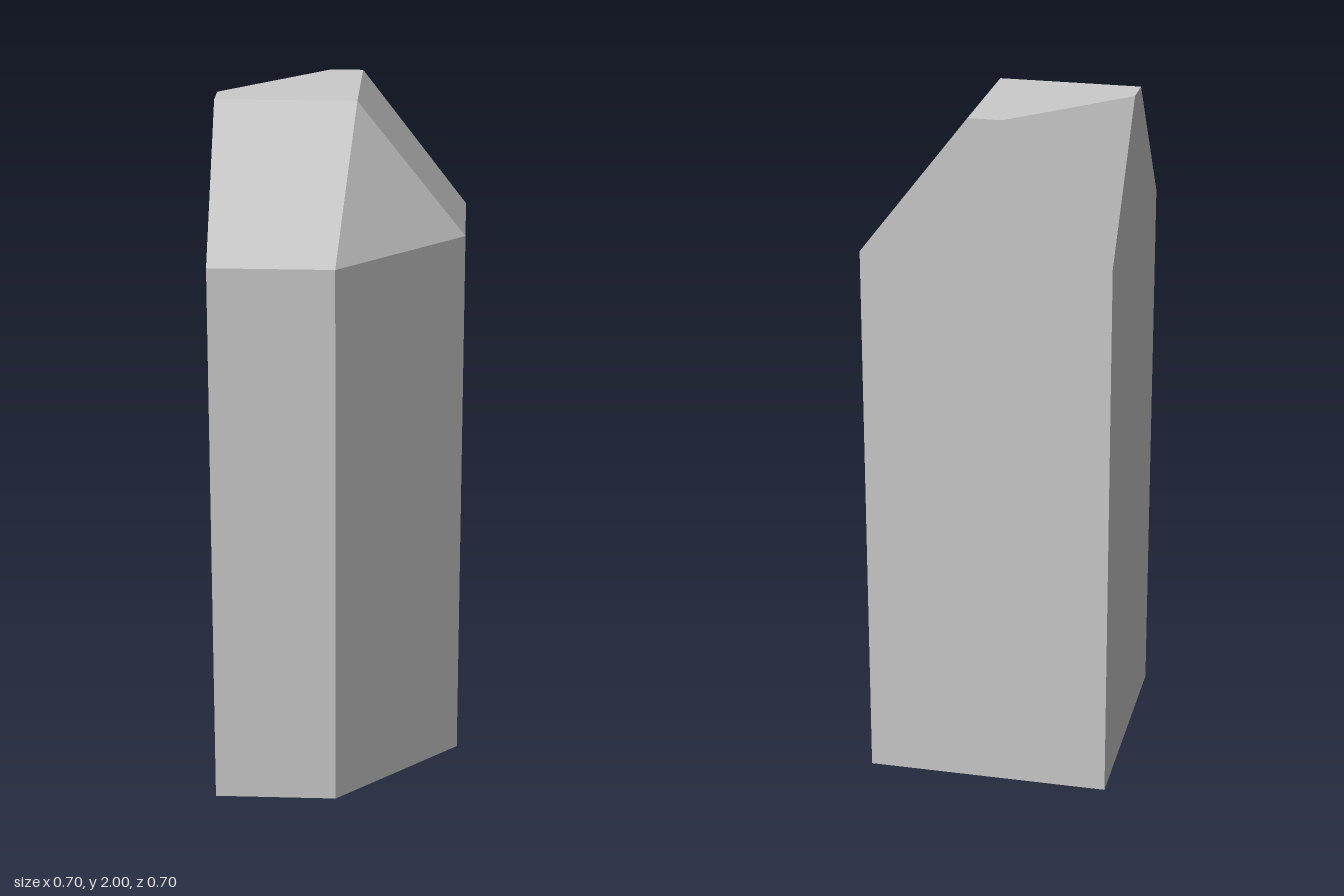
import * as THREE from 'three';

const HALF = 0.35;    // half width of the footprint
const EAVE = 1.605;   // top of the upright walls
const TOP = 2;        // flat cap height
const RIDGE = 0.046;  // inner edge of the sloped shoulders
const CUT = -0.048;   // where the rear corner facet meets the cap

const material = new THREE.MeshStandardMaterial({
  color: 0xcccccc, flatShading: true, side: THREE.DoubleSide,
});

// One mesh from convex polygons, each a loop of corners fanned into triangles
function facets(name, polygons) {
  const points = [];
  for (const p of polygons) {
    for (let i = 1; i < p.length - 1; i++) points.push(p[0], p[i], p[i + 1]);
  }
  const geometry = new THREE.BufferGeometry().setFromPoints(points);
  geometry.computeVertexNormals();
  const mesh = new THREE.Mesh(geometry, material);
  mesh.name = name;
  return mesh;
}

export function createModel() {
  const v = (x, y, z) => new THREE.Vector3(x, y, z);

  // Five-sided footprint: a square with its front corner bevelled
  const plan = [[-HALF, HALF], [0, HALF], [HALF, 0], [HALF, -HALF], [-HALF, -HALF]];
  const base = plan.map(([x, z]) => v(x, 0, z));
  const eave = plan.map(([x, z]) => v(x, EAVE, z));

  // Corners of the flat cap
  const peak = v(RIDGE, TOP, RIDGE);
  const capBack = v(RIDGE, TOP, -HALF);
  const cutBack = v(CUT, TOP, -HALF);
  const cutSide = v(-HALF, TOP, CUT);
  const capSide = v(-HALF, TOP, RIDGE);

  // Extra corners where the two tall walls rise into gables
  const gables = { 3: [cutBack, capBack], 4: [capSide, cutSide] };
  const walls = plan.map((_, i) => {
    const j = (i + 1) % plan.length;
    return [base[i], base[j], eave[j], ...(gables[i] || []), eave[i]];
  });

  const group = new THREE.Group();
  group.name = 'facetedPillar';
  group.add(
    // Upright walls, open at the bottom
    facets('walls', walls),
    // Sloped shoulders around the cap
    facets('shoulders', [
      [eave[0], eave[1], peak, capSide],
      [eave[2], eave[3], capBack, peak],
    ]),
    // Triangles above the bevelled front corner and the sharp rear corner
    facets('cornerFacets', [
      [eave[1], eave[2], peak],
      [eave[4], cutSide, cutBack],
    ]),
    // Flat five-sided top
    facets('cap', [[capSide, peak, capBack, cutBack, cutSide]]),
  );
  return group;
}
